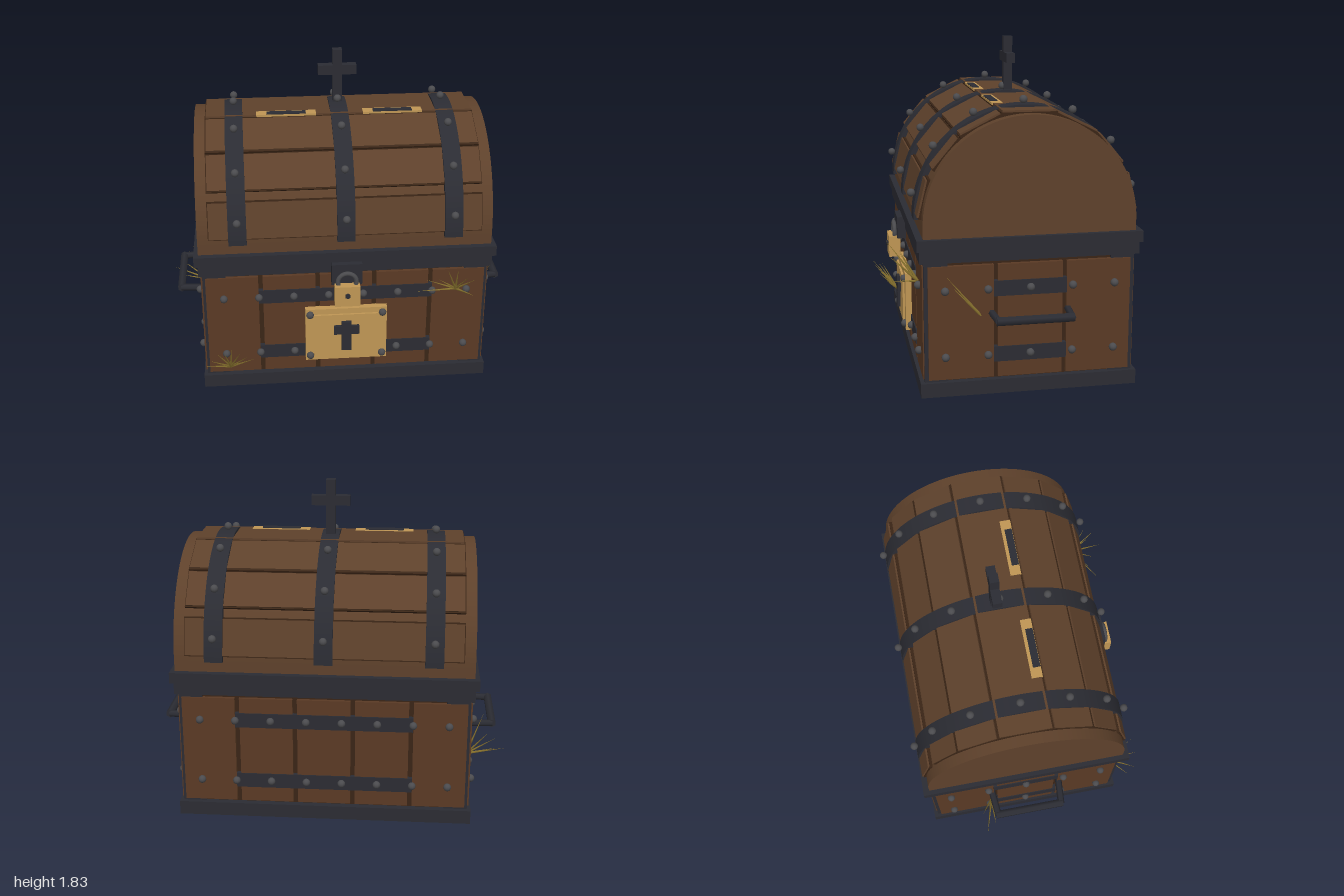
import * as THREE from 'three';

const mat = (name, color) => {
  const m = new THREE.MeshStandardMaterial({ color });
  m.name = name;
  return m;
};

export function createModel() {
  const iron = mat('iron', 0x2b2c33);
  const wood = mat('wood', 0x5a3a24);
  const lidWood = mat('lidWood', 0x5e412b);
  const darkWood = mat('darkWood', 0x3a2516);
  const gold = mat('brass', 0xbf9654);
  const steel = mat('steel', 0x4b4b4e);
  const straw = mat('straw', 0x8f7831);

  const root = new THREE.Group();
  root.name = 'chest';
  // Chest axis sits slightly off the overall centre because of the lock and straw
  const chest = new THREE.Group();
  chest.name = 'chestBody';
  chest.position.set(0.025, 0, -0.055);
  root.add(chest);

  const add = (name, geo, m, x = 0, y = 0, z = 0, parent = chest) => {
    const mesh = new THREE.Mesh(geo, m);
    mesh.name = name;
    mesh.position.set(x, y, z);
    parent.add(mesh);
    return mesh;
  };
  // Box given by centre x/z, lower and upper y, full width and depth
  const box = (name, m, x, y0, y1, z, w, d, parent) =>
    add(name, new THREE.BoxGeometry(w, y1 - y0, d), m, x, (y0 + y1) / 2, z, parent);
  const studGeo = new THREE.SphereGeometry(0.022, 10, 8);
  const stud = (x, y, z) => add('stud', studGeo, steel, x, y, z);

  // Base, underside and rim
  box('baseBand', iron, 0, 0.003, 0.082, 0, 1.64, 1.172);
  box('underside', wood, 0, 0, 0.02, 0, 1.6, 1.13);
  box('lowerRim', iron, 0, 0.737, 0.808, 0, 1.64, 1.172);
  box('upperRim', iron, 0, 0.806, 0.866, 0, 1.68, 1.2);

  // Core seen between the planks, with iron corner posts
  box('core', darkWood, 0, 0.06, 0.75, 0, 1.57, 1.1);
  for (const sx of [-1, 1]) for (const sz of [-1, 1])
    box('cornerPost', iron, sx * 0.735, 0.07, 0.75, sz * 0.5, 0.13, 0.126);

  // Front and back: planks, straps and studs
  for (const s of [-1, 1]) {
    for (let i = -2; i <= 2; i++)
      box('plank', wood, i * 0.319, 0.095, 0.715, s * 0.555, 0.294, 0.03);
    for (const y of [0.223, 0.587]) {
      box('strap', iron, 0, y - 0.042, y + 0.042, s * 0.559, 0.98, 0.032);
      for (let i = 0; i < 8; i++) stud(-0.686 + i * 0.196, y, s * 0.58);
    }
  }

  // Sides: planks, straps, studs and handle
  for (const s of [-1, 1]) {
    for (let i = -1; i <= 1; i++)
      box('sidePlank', wood, s * 0.795, 0.095, 0.715, i * 0.369, 0.03, 0.347);
    for (const y of [0.222, 0.585]) {
      box('sideStrap', iron, s * 0.799, y - 0.042, y + 0.042, 0, 0.032, 0.39);
      for (let i = -2; i <= 2; i++) stud(s * 0.82, y, i * 0.227);
    }
    const grip = add('handleGrip', new THREE.CylinderGeometry(0.024, 0.024, 0.41, 6), iron, s * 0.945, 0.45, 0);
    grip.rotation.x = Math.PI / 2;
    for (const e of [-1, 1]) {
      const arm = add('handleArm', new THREE.CylinderGeometry(0.02, 0.02, 0.15, 6), iron, s * 0.873, 0.45, e * 0.2);
      arm.rotation.set(0, s * e * 0.08, Math.PI / 2);
    }
  }

  // Barrel lid: straight foot with a half-round top
  const LY = 0.93;
  const across = (shape, width) => {
    const g = new THREE.ExtrudeGeometry(shape, { depth: width, bevelEnabled: false, curveSegments: 32 });
    g.translate(0, 0, -width / 2);
    g.rotateY(Math.PI / 2);
    return g;
  };
  const R = 0.565;
  const lid = new THREE.Shape();
  lid.moveTo(-R, -0.07);
  lid.lineTo(R, -0.07);
  lid.lineTo(R, 0);
  lid.absarc(0, 0, R, 0, Math.PI, false);
  lid.closePath();
  add('lid', across(lid, 1.63), lidWood, 0, LY, 0);

  // Lid planks as [centre angle, half angle] in degrees, on dark backing boards
  const planks = [[13.5, 10], [40, 10], [63.5, 11.5], [90, 14], [116.5, 11.5], [140, 10], [166.5, 10]];
  for (const [a, h] of planks) {
    const t = THREE.MathUtils.degToRad(a);
    const w = 2 * 0.578 * Math.sin(THREE.MathUtils.degToRad(h));
    const board = (name, m, r, wx, wt, thick) => {
      const b = add(name, new THREE.BoxGeometry(wx, thick, wt), m, 0, LY + r * Math.sin(t), r * Math.cos(t));
      b.rotation.x = Math.PI / 2 - t;
    };
    board('lidPlank', lidWood, 0.565, 1.5, w, 0.03);
    board('lidPlankEdge', darkWood, 0.552, 1.51, w + 0.014, 0.036);
  }

  // Iron straps over the lid with studs
  const arch = new THREE.Shape();
  arch.absarc(0, 0, 0.594, 0, Math.PI, false);
  arch.absarc(0, 0, 0.55, Math.PI, 0, true);
  arch.closePath();
  const archGeo = across(arch, 0.1);
  for (const x of [-0.595, 0, 0.595]) {
    add('lidStrap', archGeo, iron, x, LY, 0);
    for (let i = 0; i < 7; i++) {
      const t = (i + 0.5) * Math.PI / 7;
      stud(x, LY + 0.615 * Math.sin(t), 0.615 * Math.cos(t));
    }
  }

  // Brass slots near the crown of the lid
  for (const s of [-1, 1]) {
    box('coinSlotPlate', gold, s * 0.3, 1.47, 1.512, 0.116, 0.335, 0.06);
    box('coinSlot', iron, s * 0.3, 1.5, 1.517, 0.124, 0.22, 0.04);
  }

  // Crest on the lid
  box('crestPost', iron, 0, 1.5, 1.83, -0.028, 0.054, 0.05);
  box('crestBar', iron, 0, 1.685, 1.74, -0.028, 0.218, 0.05);

  // Lock plate
  box('lockPlate', gold, 0, 0.171, 0.508, 0.585, 0.464, 0.04);
  box('lockPlatePanel', gold, 0, 0.205, 0.474, 0.607, 0.37, 0.02);
  box('keyCrossPost', iron, 0, 0.246, 0.433, 0.62, 0.056, 0.03);
  box('keyCrossBar', iron, 0, 0.353, 0.406, 0.62, 0.144, 0.029);
  for (const x of [-0.206, 0.206]) for (const y of [0.205, 0.476]) stud(x, y, 0.61);

  // Hasp and padlock
  box('hasp', iron, 0, 0.68, 0.806, 0.607, 0.17, 0.05);
  box('padlock', gold, 0, 0.567, 0.69, 0.647, 0.14, 0.066);
  add('shackle', new THREE.TorusGeometry(0.052, 0.013, 8, 20), steel, 0, 0.705, 0.645);
  add('keyhole', new THREE.CylinderGeometry(0.015, 0.015, 0.02, 6), iron, 0, 0.636, 0.682).rotation.x = Math.PI / 2;

  // Straw tufts: thin tapering blades from a base point to each tip
  const up = new THREE.Vector3(0, 1, 0);
  const tuft = (base, tips) => {
    const g = new THREE.Group();
    g.name = 'strawTuft';
    root.add(g);
    const b = new THREE.Vector3(...base);
    for (const tip of tips) {
      const d = new THREE.Vector3(...tip).sub(b);
      const geo = new THREE.ConeGeometry(0.008, d.length(), 4);
      geo.translate(0, d.length() / 2, 0);
      add('strawBlade', geo, straw, ...base, g).quaternion.setFromUnitVectors(up, d.normalize());
    }
  };
  tuft([-0.64, 0.13, 0.52], [[-0.78, 0.21, 0.62], [-0.75, 0.27, 0.66], [-0.71, 0.3, 0.64], [-0.67, 0.33, 0.68],
    [-0.63, 0.32, 0.62], [-0.58, 0.32, 0.67], [-0.54, 0.28, 0.65], [-0.5, 0.23, 0.6]]);
  tuft([0.65, 0.59, 0.52], [[0.4, 0.66, 0.65], [0.47, 0.7, 0.6], [0.53, 0.72, 0.63], [0.57, 0.8, 0.68],
    [0.64, 0.77, 0.62], [0.69, 0.74, 0.66], [0.74, 0.7, 0.62], [0.73, 0.62, 0.66]]);
  tuft([-0.78, 0.26, -0.27], [[-1, 0.33, -0.33], [-0.94, 0.38, -0.31], [-0.9, 0.43, -0.34], [-0.87, 0.52, -0.28], [-0.95, 0.3, -0.27]]);
  tuft([0.83, 0.44, 0.21], [[0.885, 0.68, 0.4], [0.87, 0.62, 0.37], [0.88, 0.57, 0.32]]);

  return root;
}
